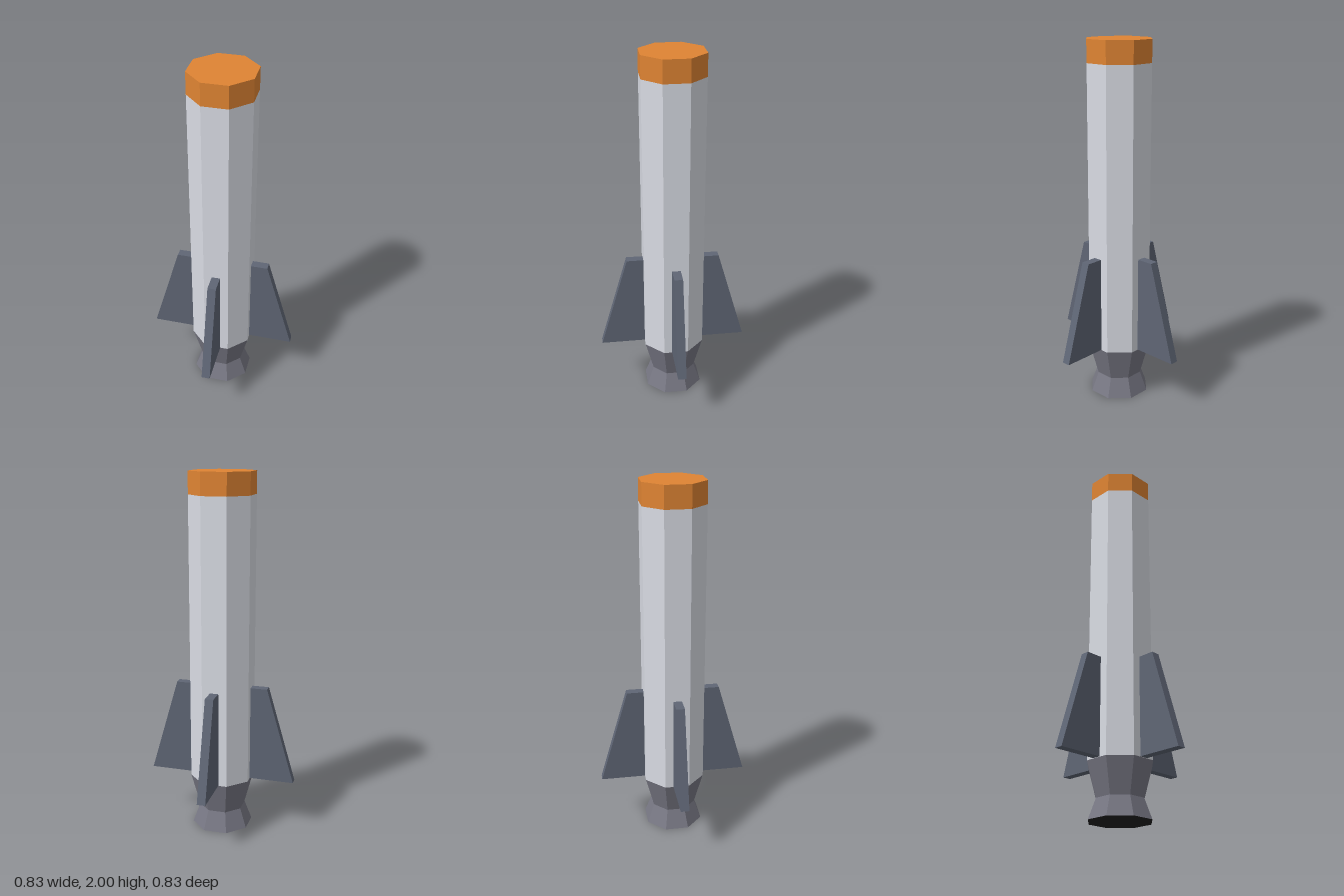
import * as THREE from 'three';

const SIDES = 8;
const flatToCorner = 1 / Math.cos(Math.PI / SIDES);

function material(color) {
  return new THREE.MeshStandardMaterial({ color, flatShading: true });
}

// Octagonal section with flats facing the axes; radii are measured to the flats
function section(name, bottom, top, rBottom, rTop, mat, open = false) {
  const geometry = new THREE.CylinderGeometry(
    rTop * flatToCorner, rBottom * flatToCorner, top - bottom, SIDES, 1, open, Math.PI / SIDES);
  const mesh = new THREE.Mesh(geometry, mat);
  mesh.name = name;
  mesh.position.y = (top + bottom) / 2;
  return mesh;
}

export function createModel() {
  const model = new THREE.Group();
  model.name = 'rocket';

  const white = material(0xd9dce4);
  const orange = material(0xdf8433);
  const slate = material(0x5f6675);
  const nozzleGrey = material(0x787884);
  const black = material(0x202020);

  // Body tube and coloured cap
  model.add(section('body', 0.295, 1.88, 0.167, 0.167, white, true));
  model.add(section('noseCap', 1.88, 2, 0.167, 0.167, orange));

  // Engine: tapering throat, flared bell and dark exhaust opening
  model.add(section('engineThroat', 0.11, 0.295, 0.12, 0.167, nozzleGrey, true));
  model.add(section('engineBell', 0, 0.11, 0.158, 0.12, nozzleGrey, true));
  const exhaust = new THREE.Mesh(
    new THREE.CircleGeometry(0.158 * flatToCorner, SIDES, Math.PI / SIDES), black);
  exhaust.name = 'exhaust';
  exhaust.rotation.x = Math.PI / 2;
  model.add(exhaust);

  // Four swept fins, rooted just inside the body
  const thickness = 0.047;
  const outline = new THREE.Shape([
    new THREE.Vector2(0.15, 0.297),
    new THREE.Vector2(0.417, 0.297),
    new THREE.Vector2(0.26, 0.837),
    new THREE.Vector2(0.15, 0.837),
  ]);
  const finGeometry = new THREE.ExtrudeGeometry(outline, { depth: thickness, bevelEnabled: false });
  finGeometry.translate(0, 0, -thickness / 2);
  const names = ['leftFin', 'backFin', 'rightFin', 'frontFin'];
  names.forEach((name, i) => {
    const fin = new THREE.Mesh(finGeometry, slate);
    fin.name = name;
    fin.rotation.y = i * Math.PI / 2;
    model.add(fin);
  });

  return model;
}
